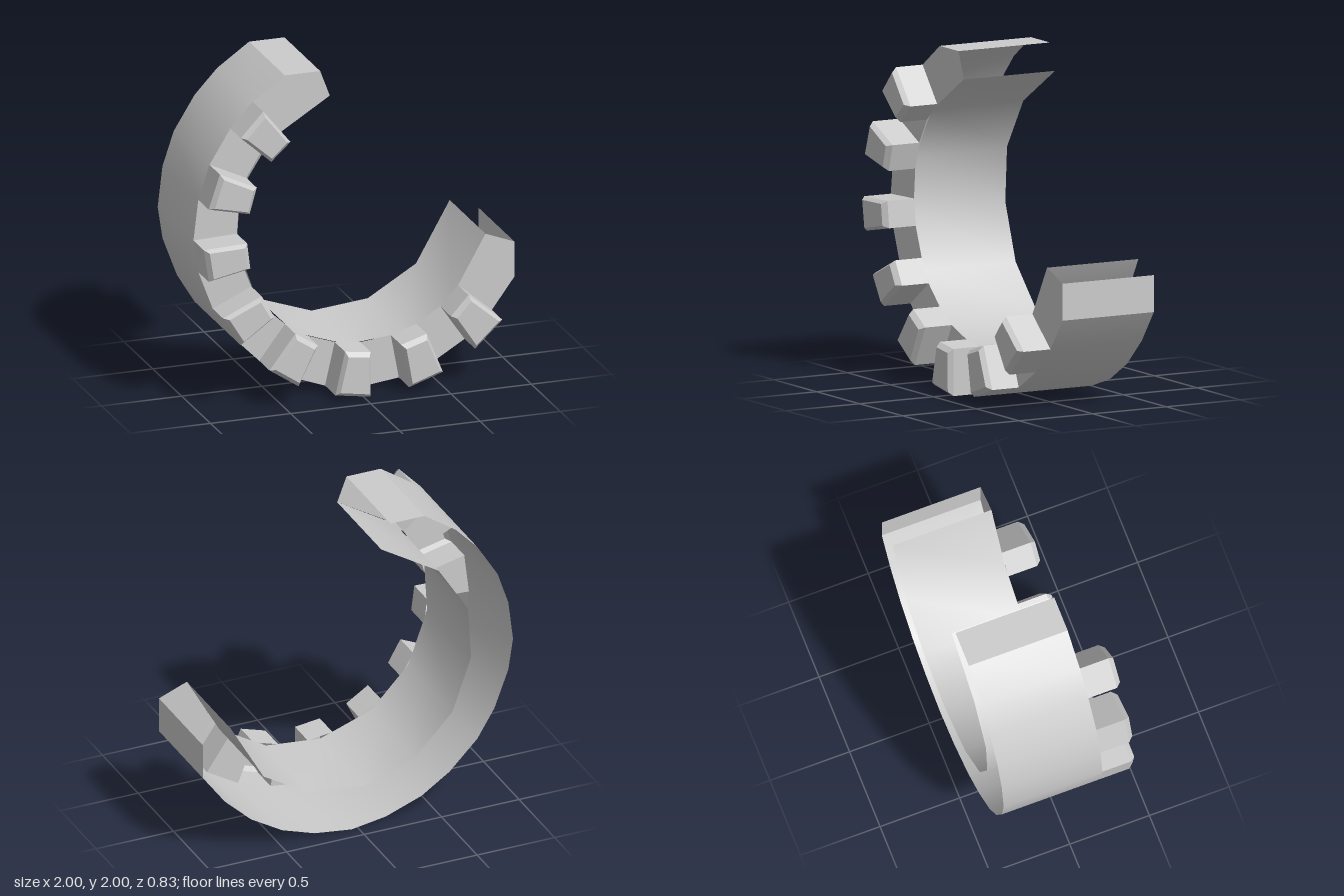
import * as THREE from 'three';
import { mergeVertices, toCreasedNormals } from 'three/addons/utils/BufferGeometryUtils.js';

const BACK = -0.415, RIM = 0.205, BEVEL = 0.385, TIP = 0.415;

// Outer profile, counter-clockwise from the upper end to the lower end
const outer = [[-0.21, 2], [-0.43, 2], [-0.63, 1.86], [-0.77, 1.71], [-0.90, 1.50], [-0.97, 1.29],
  [-1, 1.04], [-0.97, 0.84], [-0.88, 0.60], [-0.77, 0.42], [-0.59, 0.24], [-0.41, 0.12],
  [-0.18, 0.035], [0.04, 0], [0.28, 0.03], [0.49, 0.10], [0.69, 0.22], [0.86, 0.38], [1, 0.57],
  [1, 0.79]];
// Coarser inner profile
const inner = [[-0.15, 1.84], [-0.52, 1.61], [-0.71, 1.31], [-0.73, 0.98], [-0.61, 0.64],
  [-0.37, 0.39], [-0.04, 0.275], [0.31, 0.31], [0.61, 0.49], [0.82, 0.86]];
// Inner ends of the radial tooth edges, matching outer[2] to outer[17]
const roots = [[-0.46, 1.65], [-0.58, 1.54], [-0.67, 1.39], [-0.715, 1.23], [-0.73, 1.05], [-0.71, 0.89],
  [-0.64, 0.71], [-0.56, 0.57], [-0.43, 0.45], [-0.29, 0.36], [-0.12, 0.30], [0.04, 0.28],
  [0.23, 0.30], [0.39, 0.35], [0.54, 0.44], [0.65, 0.56]];

const material = new THREE.MeshStandardMaterial({ color: 0xcccccc, side: THREE.DoubleSide });

function add(group, name, geometry) {
  const mesh = new THREE.Mesh(geometry, material);
  mesh.name = name;
  group.add(mesh);
}

// Skin between successive rows of [x, y, z] points
function skin(rows, closed, crease) {
  const n = rows[0].length, index = [];
  for (let r = 0; r < rows.length - 1; r++) {
    for (let i = 0; i < (closed ? n : n - 1); i++) {
      const j = (i + 1) % n, a = r * n + i, b = r * n + j;
      index.push(a, b, b + n, a, b + n, a + n);
    }
  }
  const g = new THREE.BufferGeometry();
  g.setAttribute('position', new THREE.Float32BufferAttribute(rows.flat(2), 3));
  g.setIndex(index);
  return toCreasedNormals(mergeVertices(g), crease);
}

const atZ = (points, z) => points.map(([x, y]) => [x, y, z]);

// Flat face in the plane z
function face(points, z) {
  const shape = new THREE.Shape(points.map(([x, y]) => new THREE.Vector2(x, y)));
  return new THREE.ShapeGeometry(shape).translate(0, 0, z);
}

// Shrink a four-sided outline towards its middle by roughly d on every side
function inset(points, d) {
  const cx = points.reduce((s, p) => s + p[0], 0) / 4;
  const cy = points.reduce((s, p) => s + p[1], 0) / 4;
  return points.map(([x, y]) => {
    const l = Math.hypot(cx - x, cy - y);
    return [x + (cx - x) / l * d * 1.4, y + (cy - y) / l * d * 1.4];
  });
}

export function createModel() {
  const model = new THREE.Group();
  model.name = 'castellatedOpenRing';

  // Two thin walls, open at the back and at both ends
  add(model, 'outerWall', skin([atZ(outer, BACK), atZ(outer, RIM)], false, 0.56));
  const reversed = [...inner].reverse();
  add(model, 'innerWall', skin([atZ(reversed, BACK), atZ(reversed, RIM)], false, 0.56));

  // Front rim: hollow bevelled teeth alternating with flat gaps
  const teeth = new THREE.Group();
  teeth.name = 'teeth';
  for (let i = 0; i < roots.length - 1; i++) {
    const outline = [outer[i + 2], outer[i + 3], roots[i + 1], roots[i]];
    if (i % 2) {
      add(model, 'rimGap', face(outline, RIM));
      continue;
    }
    const tooth = new THREE.Group();
    tooth.name = 'tooth';
    const top = inset(outline, 0.022);
    add(tooth, 'toothSides', skin([atZ(outline, RIM), atZ(outline, BEVEL), atZ(top, TIP)], true, 0.3));
    add(tooth, 'toothFace', face(top, TIP));
    teeth.add(tooth);
  }
  model.add(teeth);

  // Longer flat faces at the two ends of the ring
  add(model, 'upperEndFace', face([inner[0], ...outer.slice(0, 3), roots[0]], RIM));
  add(model, 'lowerEndFace', face([roots[15], ...outer.slice(17), inner[9]], RIM));
  return model;
}
